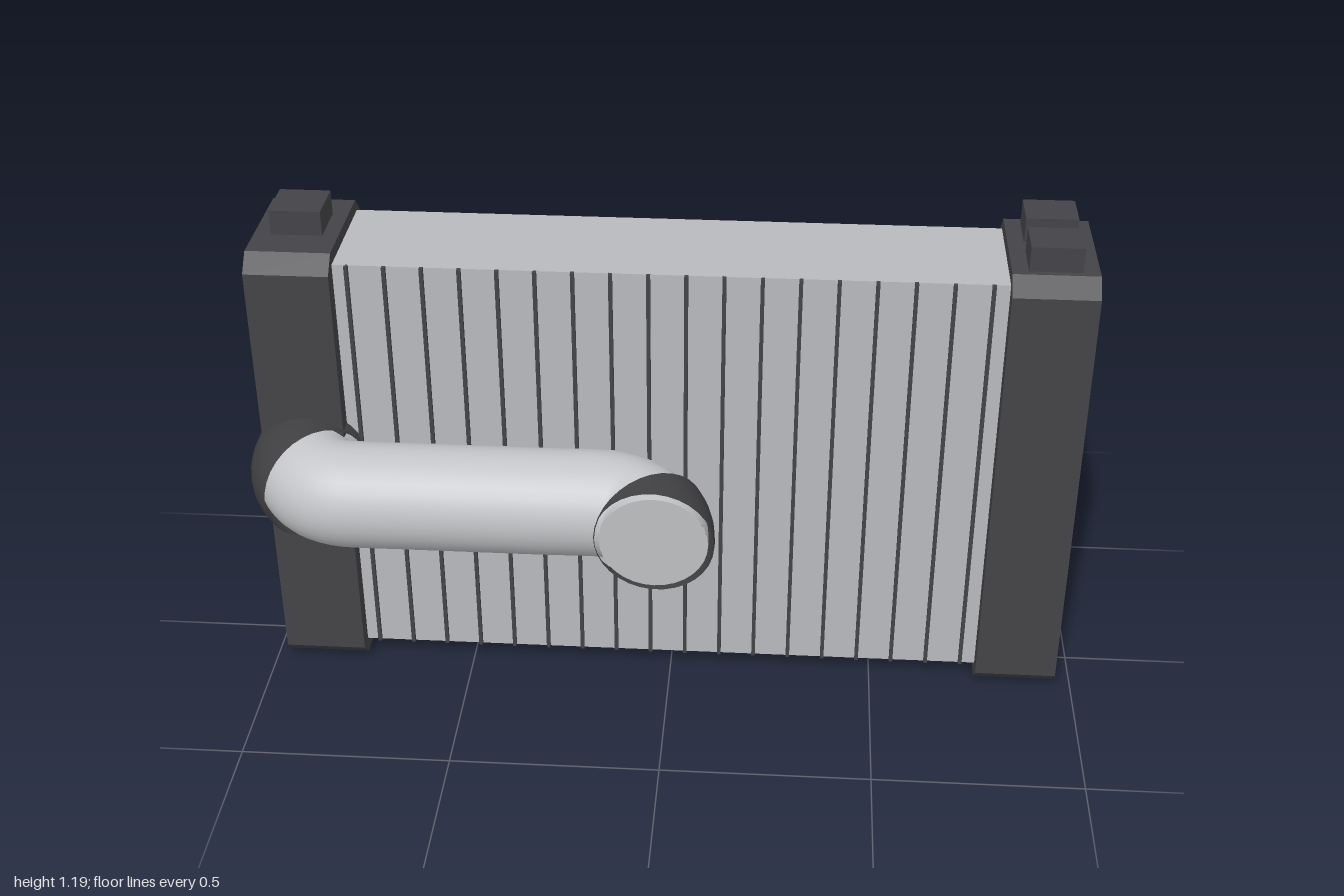
import * as THREE from 'three';

export function createModel() {
  const model = new THREE.Group();
  const coreMetal = new THREE.MeshStandardMaterial({ color: 0xb9babd });
  const pipeMetal = new THREE.MeshStandardMaterial({ color: 0xc4c5c8 });
  const darkPlastic = new THREE.MeshStandardMaterial({ color: 0x444347 });
  const rubber = new THREE.MeshStandardMaterial({ color: 0x403f42, side: THREE.DoubleSide });

  function add(name, geometry, material, x = 0, y = 0, z = 0) {
    const mesh = new THREE.Mesh(geometry, material);
    mesh.name = name;
    mesh.position.set(x, y, z);
    model.add(mesh);
    return mesh;
  }

  // Core block with thin upright fins on its front
  add('core', new THREE.BoxGeometry(1.54, 1.06, 0.293), coreMetal, -0.005, 0.57, -0.0585);
  for (let i = 0; i < 18; i++) {
    add('fin', new THREE.BoxGeometry(0.009, 1.06, 0.012), darkPlastic, -0.74 + i * 0.0862, 0.57, 0.091);
  }

  // End tanks: chamfered profile in depth and height, extruded across x
  const z0 = -0.235, z1 = 0.13, top = 1.13, c = 0.04;
  const profile = new THREE.Shape([
    [z0 + c, 0], [z1 - c, 0], [z1, c], [z1, top - c],
    [z1 - c, top], [z0 + c, top], [z0, top - c], [z0, c],
  ].map(([z, y]) => new THREE.Vector2(-z, y)).reverse());
  for (const [name, x] of [['rightTank', -0.97], ['leftTank', 0.762]]) {
    const geometry = new THREE.ExtrudeGeometry(profile, { depth: 0.197, bevelEnabled: false });
    geometry.rotateY(Math.PI / 2);
    add(name, geometry, darkPlastic, x);
  }

  // Mounting tabs on top of the tanks
  for (const [x, z, depth] of [[-0.87, -0.057, 0.118], [0.86, 0.024, 0.102], [0.86, -0.124, 0.102]]) {
    add('mountingTab', new THREE.BoxGeometry(0.12, 0.07, depth), darkPlastic, x, 1.155, z);
  }

  // Front pipe: two bends joined by a straight run
  const rad = Math.PI / 180, R = 0.123, pipeY = 0.575;
  const firstBend = (deg) => new THREE.Vector3(
    -0.74 - R * Math.cos(deg * rad), pipeY, 0.112 + R * Math.sin(deg * rad));
  const lastBend = (deg) => new THREE.Vector3(
    -0.143 + R * Math.sin(deg * rad), pipeY - 0.016 * deg / 95, 0.357 - R * Math.cos(deg * rad));
  const arc = (bend, from, to, steps = 10) =>
    Array.from({ length: steps + 1 }, (_, i) => bend(from + (to - from) * i / steps));

  // Tube through a list of points, with optional flat discs over both ends
  function tube(name, points, radius, material, capped) {
    const curve = new THREE.CatmullRomCurve3(points);
    add(name, new THREE.TubeGeometry(curve, 64, radius, 32), material);
    if (!capped) return;
    for (const [t, sign] of [[0, -1], [1, 1]]) {
      const cap = add(name + 'End', new THREE.CircleGeometry(radius, 32), material);
      const point = curve.getPointAt(t);
      cap.position.copy(point);
      cap.lookAt(point.add(curve.getTangentAt(t).multiplyScalar(sign)));
    }
  }
  const inlet = new THREE.Vector3(-0.863, pipeY, 0.045);
  const straight = [-0.6, -0.45, -0.3].map((x) => new THREE.Vector3(x, pipeY, 0.235));
  tube('frontPipe', [inlet, ...arc(firstBend, 0, 90), ...straight, ...arc(lastBend, 0, 95)],
    0.125, pipeMetal, true);
  tube('inletSleeve', [inlet, ...arc(firstBend, 0, 43)], 0.139, rubber, false);
  tube('outletSleeve', arc(lastBend, 60, 94), 0.139, rubber, false);

  // Short rear pipe with its sleeve
  const rearPipe = new THREE.CylinderGeometry(0.125, 0.125, 0.17, 32).rotateX(Math.PI / 2);
  add('rearPipe', rearPipe, pipeMetal, 0.857, pipeY, -0.288);
  const rearSleeve = new THREE.CylinderGeometry(0.139, 0.139, 0.1, 32).rotateX(Math.PI / 2);
  add('rearSleeve', rearSleeve, rubber, 0.857, pipeY, -0.309);

  return model;
}
